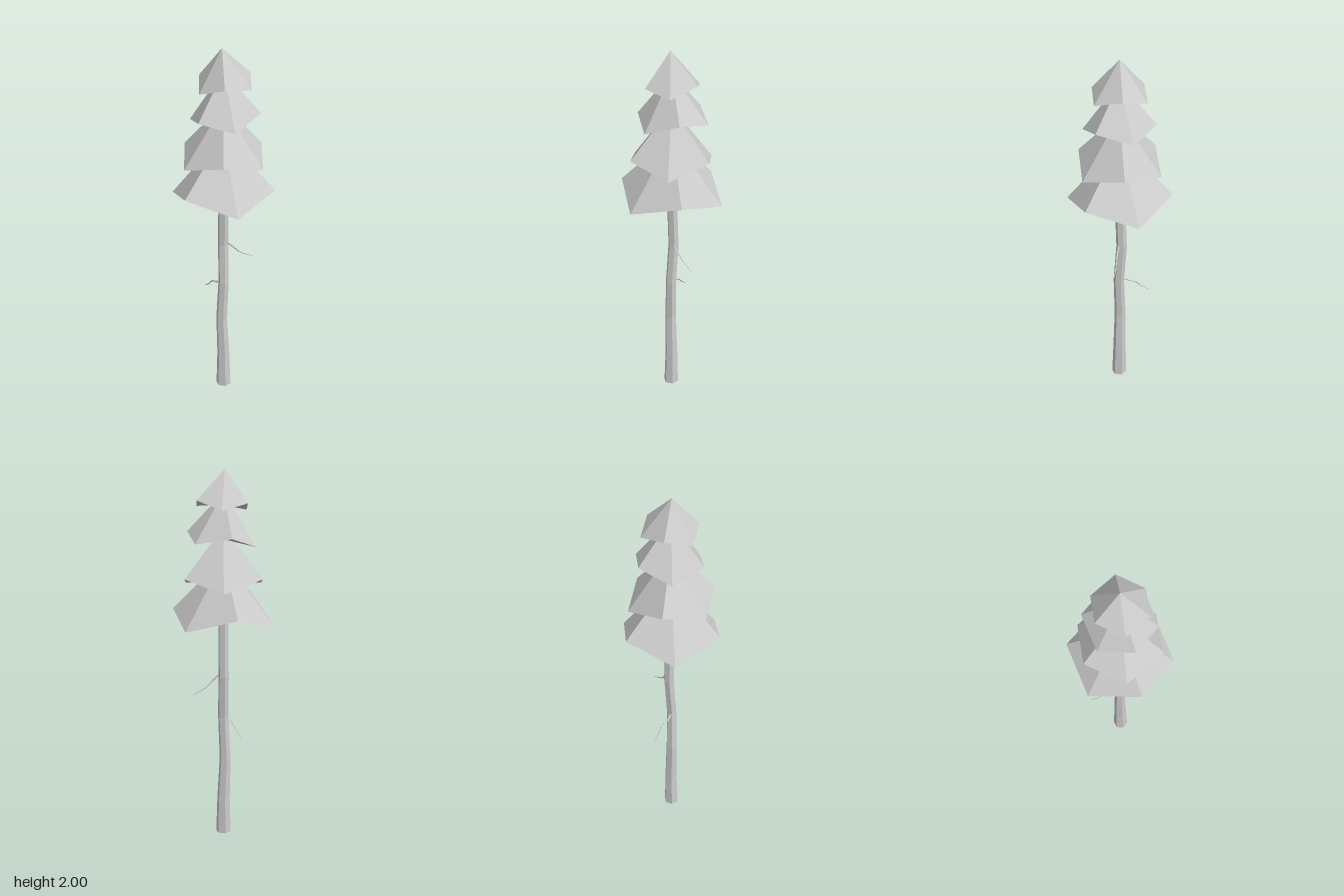
import * as THREE from 'three';

const material = new THREE.MeshStandardMaterial({ color: 0xcccccc, flatShading: true });

function addMesh(group, name, geometry) {
  const mesh = new THREE.Mesh(geometry, material);
  mesh.name = name;
  group.add(mesh);
}

// Six-sided cone with a zigzag rim and a closed underside.
// rim: corners [x, y, z] going counter-clockwise seen from above.
function foliageTier(apex, rim) {
  const centre = [0, 1, 2].map((k) => rim.reduce((sum, p) => sum + p[k], 0) / rim.length);
  const positions = [];
  rim.forEach((a, i) => {
    const b = rim[(i + 1) % rim.length];
    positions.push(...a, ...b, ...apex, ...b, ...a, ...centre);
  });
  const geometry = new THREE.BufferGeometry();
  geometry.setAttribute('position', new THREE.Float32BufferAttribute(positions, 3));
  geometry.computeVertexNormals();
  return geometry;
}

// Regular hexagonal rim whose corners alternate between two heights.
function zigzagRim(radius, turn, yFirst, ySecond) {
  return Array.from({ length: 6 }, (_, i) => {
    const a = turn + (i * Math.PI) / 3;
    return [radius * Math.sin(a), i % 2 ? ySecond : yFirst, radius * Math.cos(a)];
  });
}

// Hexagonal trunk bent through rings of [y, x, z, radius].
function trunkGeometry(rings) {
  const n = rings.length - 1;
  const geometry = new THREE.CylinderGeometry(1, 1, n, 6, n);
  const p = geometry.attributes.position;
  for (let i = 0; i < p.count; i++) {
    const [y, x, z, r] = rings[Math.round(p.getY(i) + n / 2)];
    p.setXYZ(i, x + p.getX(i) * r, y, z + p.getZ(i) * r);
  }
  geometry.computeVertexNormals();
  return geometry;
}

// Thin twig that tapers towards its tip.
function twigGeometry(points, radius) {
  const segments = 8, sides = 4;
  const curve = new THREE.CatmullRomCurve3(points.map((q) => new THREE.Vector3(...q)));
  const geometry = new THREE.TubeGeometry(curve, segments, radius, sides);
  const p = geometry.attributes.position;
  const v = new THREE.Vector3();
  for (let i = 0; i < p.count; i++) {
    const t = Math.floor(i / (sides + 1)) / segments;
    const c = curve.getPointAt(t);
    v.fromBufferAttribute(p, i).sub(c).multiplyScalar(1 - 0.7 * t).add(c);
    p.setXYZ(i, v.x, v.y, v.z);
  }
  return geometry;
}

export function createModel() {
  const tree = new THREE.Group();
  tree.name = 'pineTree';

  addMesh(tree, 'trunk', trunkGeometry([
    [0, 0, 0.002, 0.041],
    [0.2, 0, 0, 0.035],
    [0.43, -0.009, -0.002, 0.031],
    [0.66, 0, 0.004, 0.029],
    [0.89, 0.003, -0.012, 0.029],
    [1.25, 0.001, 0, 0.028],
  ]));

  // Two bare twigs
  addMesh(tree, 'leftTwig', twigGeometry(
    [[0.015, 0.91, 0], [0.05, 0.88, 0.004], [0.09, 0.84, 0.004], [0.12, 0.822, 0.002], [0.172, 0.798, 0.004]], 0.006));
  addMesh(tree, 'backTwig', twigGeometry(
    [[-0.015, 0.66, -0.01], [-0.03, 0.645, -0.04], [-0.04, 0.625, -0.09], [-0.052, 0.595, -0.115], [-0.064, 0.565, -0.157]], 0.006));

  // Foliage, from the lowest tier to the tip
  addMesh(tree, 'foliageTier1', foliageTier([0, 1.535, 0], zigzagRim(0.281, 0, 1.175, 1.25)));
  addMesh(tree, 'foliageTier2', foliageTier([0, 1.7, 0], zigzagRim(0.235, -Math.PI / 12, 1.44, 1.382)));
  addMesh(tree, 'foliageTier3', foliageTier([0, 1.88, 0], [
    [0.012, 1.605, 0.19], [0.173, 1.67, 0.095], [0.177, 1.625, -0.097],
    [0.007, 1.66, -0.193], [-0.153, 1.6, -0.097], [-0.157, 1.645, 0.095],
  ]));
  addMesh(tree, 'foliageTier4', foliageTier([-0.007, 2, 0], [
    [-0.033, 1.825, 0.147], [0.118, 1.8, 0.11], [0.155, 1.845, -0.04],
    [0.05, 1.8, -0.15], [-0.1, 1.83, -0.11], [-0.137, 1.78, 0.04],
  ]));

  return tree;
}
